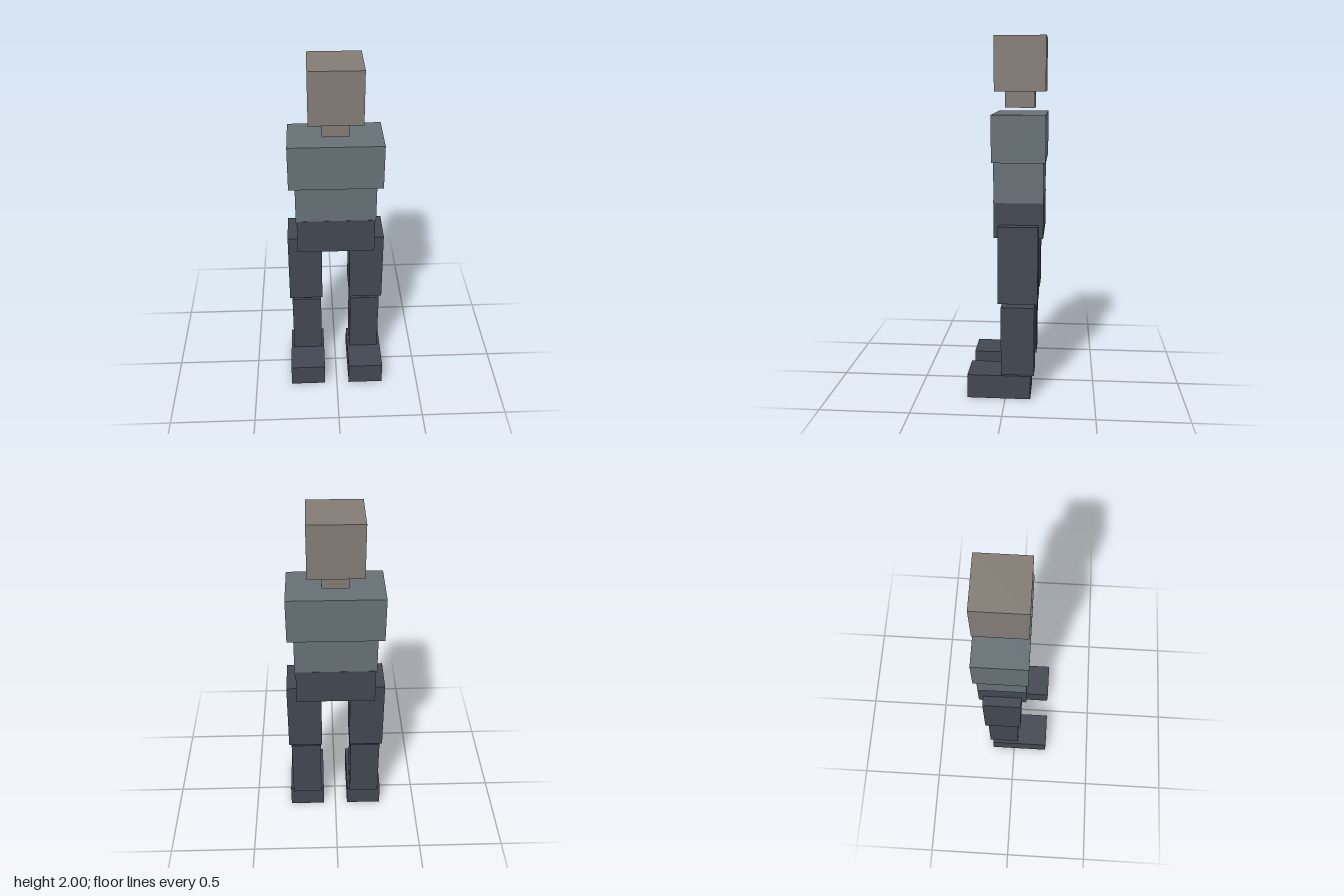
import * as THREE from 'three';

const material = (name, color) => {
  const m = new THREE.MeshStandardMaterial({ color });
  m.name = name;
  return m;
};

export function createModel() {
  const skin = material('skin', 0x827c74);
  const shirt = material('shirt', 0x667076);
  const trousers = material('trousers', 0x424751);

  const model = new THREE.Group();
  model.name = 'blockFigure';

  // Box given by its [min, max] range on each axis
  const block = (name, mat, [x0, x1], [y0, y1], [z0, z1], parent = model) => {
    const mesh = new THREE.Mesh(new THREE.BoxGeometry(x1 - x0, y1 - y0, z1 - z0), mat);
    mesh.position.set((x0 + x1) / 2, (y0 + y1) / 2, (z0 + z1) / 2);
    mesh.name = name;
    parent.add(mesh);
  };

  // Head and torso
  block('head', skin, [-0.146, 0.146], [1.705, 2], [-0.21, 0.071]);
  block('neck', skin, [-0.073, 0.073], [1.615, 1.71], [-0.148, 0.017]);
  block('chest', shirt, [-0.26, 0.26], [1.33, 1.585], [-0.215, 0.077]);
  block('abdomen', shirt, [-0.225, 0.225], [1.108, 1.335], [-0.203, 0.068]);
  block('pelvis', trousers, [-0.22, 0.22], [0.912, 1.12], [-0.204, 0.069]);

  // Legs, mirrored across the middle
  for (const [side, s] of [['left', 1], ['right', -1]]) {
    const leg = new THREE.Group();
    leg.name = side + 'Leg';
    const span = (a, b) => (s > 0 ? [a, b] : [-b, -a]);
    block(side + 'Thigh', trousers, span(0.081, 0.276), [0.553, 0.986], [-0.178, 0.041], leg);
    block(side + 'Shin', trousers, span(0.089, 0.263), [0.132, 0.528], [-0.16, 0.026], leg);
    block(side + 'Foot', trousers, span(0.074, 0.281), [0, 0.136], [-0.141, 0.213], leg);
    model.add(leg);
  }

  return model;
}
